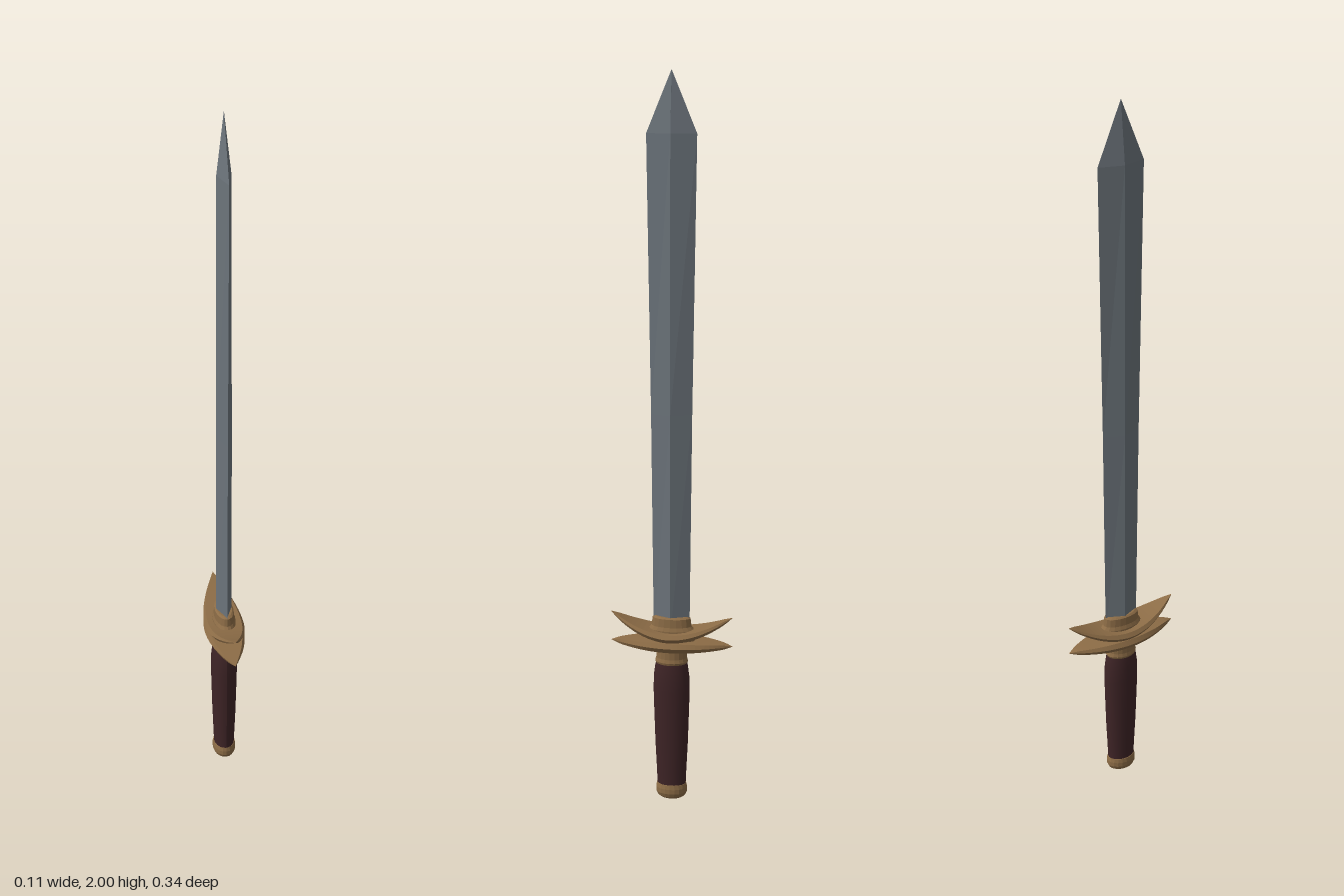
import * as THREE from 'three';

const mat = (name, color, flatShading = false) => {
  const m = new THREE.MeshStandardMaterial({ color, flatShading });
  m.name = name;
  return m;
};

// Skin a list of equal-length rings (counter-clockwise seen from the end) and close both ends
function loft(rings) {
  const n = rings[0].length, pos = rings.flat(2), idx = [];
  for (let i = 0; i < rings.length - 1; i++) {
    for (let j = 0; j < n; j++) {
      const a = i * n + j, b = i * n + (j + 1) % n;
      idx.push(a, b, b + n, a, b + n, a + n);
    }
  }
  const last = (rings.length - 1) * n;
  for (let j = 1; j < n - 1; j++) idx.push(0, j + 1, j, last, last + j, last + j + 1);
  const g = new THREE.BufferGeometry();
  g.setAttribute('position', new THREE.Float32BufferAttribute(pos, 3));
  g.setIndex(idx);
  const flat = g.toNonIndexed();
  flat.computeVertexNormals();
  return flat;
}

// Pointed leaf plate along z: rise(u) lifts its centre line, u runs -1..1
function leaf(thickness, rise) {
  const rings = [], steps = 28;
  for (let i = 0; i <= steps; i++) {
    const u = -1 + 2 * i / steps, k = 1 - u * u;
    const w = 0.055 * k + 0.0003, t = thickness * (0.25 + 0.75 * k) * Math.min(1, k * 5) + 0.0003;
    const y = rise(u), z = 0.17 * u, b = 0.86 * w;
    rings.push([[w, y, z], [b, y + t, z], [-b, y + t, z], [-w, y, z], [-b, y - t, z], [b, y - t, z]]);
  }
  return loft(rings);
}

// Oval turned part, given as [z radius, height] pairs
function turned(profile, squash) {
  const g = new THREE.LatheGeometry(profile.map(([r, y]) => new THREE.Vector2(r, y)), 20);
  g.scale(squash, 1, 1);
  g.computeVertexNormals();
  return g;
}

export function createModel() {
  const group = new THREE.Group();
  const steel = mat('steel', 0x6c747b, true);
  const bronze = mat('bronze', 0x8c6c46, true);
  const leather = mat('leather', 0x3e2426);
  const add = (name, geometry, material) => {
    const mesh = new THREE.Mesh(geometry, material);
    mesh.name = name;
    group.add(mesh);
  };

  // Diamond-section blade, widening towards the point
  const blade = [[0.48, 0.0225, 0.05], [1.1, 0.0215, 0.056], [1.84, 0.019, 0.067], [2, 0.0003, 0.0005]];
  add('blade', loft(blade.map(([y, x, z]) => [[x, y, 0], [0, y, -z], [-x, y, 0], [0, y, z]])), steel);

  // Guard: a flat leaf below an upswept leaf
  add('lowerGuard', leaf(0.013, () => 0.455), bronze);
  add('upperGuard', leaf(0.011, u => 0.481 + 0.057 * Math.pow(Math.abs(u), 1.9)), bronze);

  // Collars above and below the guard
  add('bladeCollar', turned([[0, 0.46], [0.066, 0.46], [0.064, 0.497], [0.056, 0.507],
    [0.053, 0.53], [0.044, 0.534], [0, 0.534]], 0.5), bronze);
  add('gripCollar', turned([[0, 0.398], [0.043, 0.398], [0.046, 0.405], [0.043, 0.415],
    [0.043, 0.45], [0, 0.45]], 0.74), bronze);

  // Oval grip
  add('grip', turned([[0.04, 0.035], [0.042, 0.08], [0.046, 0.16], [0.049, 0.25], [0.051, 0.32],
    [0.05, 0.36], [0.046, 0.39], [0.043, 0.402]], 0.73), leather);

  // Pommel cap
  add('pommel', turned([[0, 0], [0.03, 0], [0.039, 0.006], [0.044, 0.017], [0.044, 0.03],
    [0.041, 0.042], [0, 0.042]], 0.76), bronze);

  return group;
}
